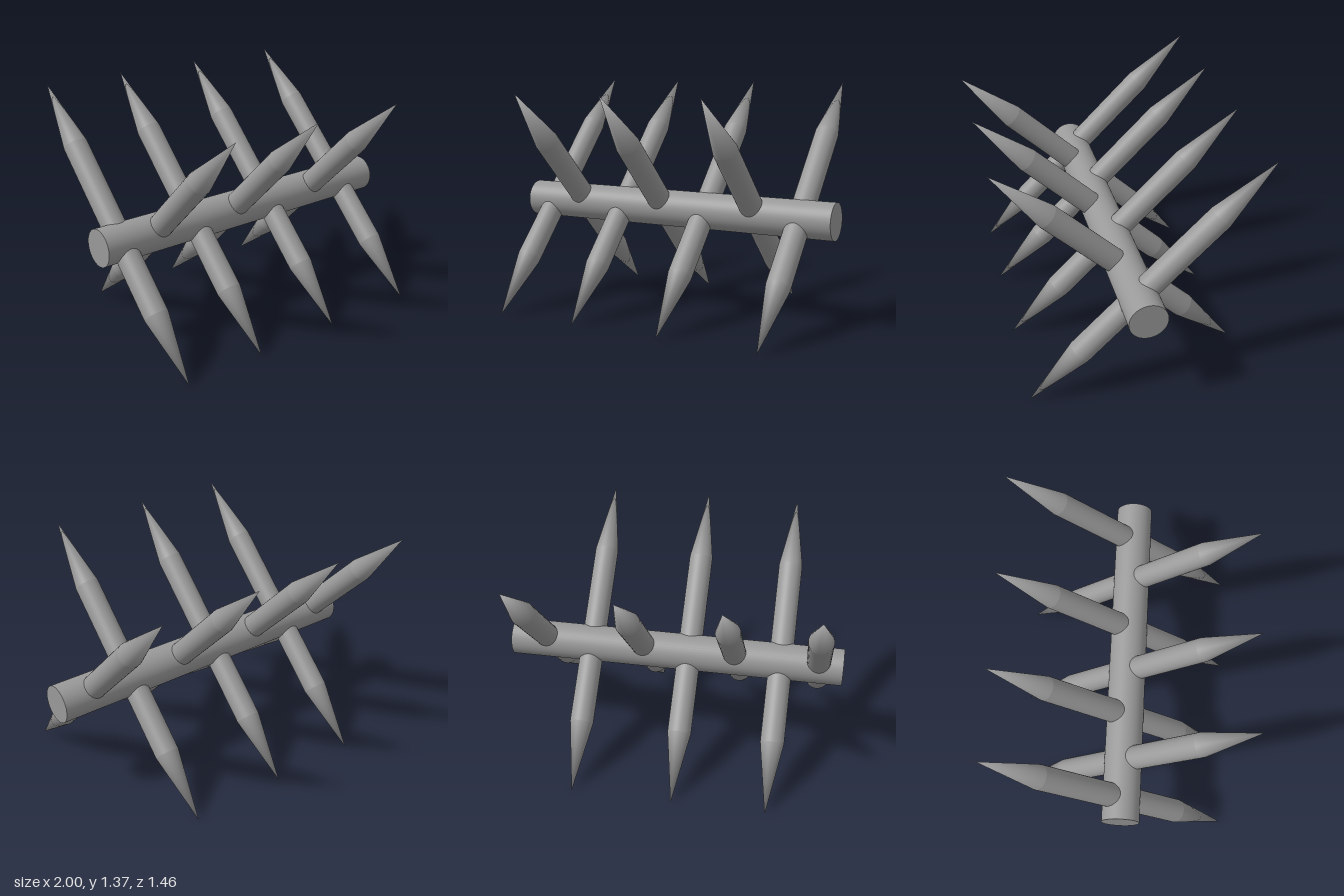
import * as THREE from 'three';
import { mergeVertices } from 'three/addons/utils/BufferGeometryUtils.js';

const SIDES = 32;
const STAKE_RADIUS = 0.07;
const POINT_LENGTH = 0.415;

// Sharpened end whose sides share one smooth tip
function pointGeometry() {
  const g = new THREE.ConeGeometry(STAKE_RADIUS, POINT_LENGTH, SIDES, 1, true);
  g.deleteAttribute('uv');
  g.deleteAttribute('normal');
  const merged = mergeVertices(g);
  merged.computeVertexNormals();
  return merged;
}

// Stake sharpened at both ends, running from one tip to the other
function makeStake(name, from, to, material) {
  const stake = new THREE.Group();
  stake.name = name;
  const axis = to.clone().sub(from);
  const length = axis.length();
  const shaftLength = length - 2 * POINT_LENGTH;

  const shaft = new THREE.Mesh(
    new THREE.CylinderGeometry(STAKE_RADIUS, STAKE_RADIUS, shaftLength, SIDES, 1, true), material);
  shaft.name = 'stakeShaft';
  stake.add(shaft);

  const geometry = pointGeometry();
  for (const end of [1, -1]) {
    const point = new THREE.Mesh(geometry, material);
    point.name = end > 0 ? 'upperPoint' : 'lowerPoint';
    point.position.y = end * (length - POINT_LENGTH) / 2;
    if (end < 0) point.rotation.x = Math.PI;
    stake.add(point);
  }

  stake.position.copy(from).add(to).multiplyScalar(0.5);
  stake.quaternion.setFromUnitVectors(new THREE.Vector3(0, 1, 0), axis.normalize());
  return stake;
}

export function createModel() {
  const model = new THREE.Group();
  model.name = 'spikedBarrier';
  const grey = new THREE.MeshStandardMaterial({ color: 0x999999 });
  grey.name = 'grey';

  // Horizontal beam
  const beam = new THREE.Mesh(new THREE.CylinderGeometry(0.109, 0.109, 2, 48), grey);
  beam.name = 'beam';
  beam.rotation.z = Math.PI / 2;
  beam.position.y = 0.631;
  model.add(beam);

  // Stakes leaning back
  for (const x of [-0.857, -0.36, 0.191, 0.787]) {
    model.add(makeStake('backLeaningStake',
      new THREE.Vector3(x, 0.013, 0.618), new THREE.Vector3(x, 1.376, -0.732), grey));
  }

  // Stakes leaning forward, set between the others
  for (const x of [-0.632, -0.081, 0.515]) {
    model.add(makeStake('frontLeaningStake',
      new THREE.Vector3(x, 0.002, -0.65), new THREE.Vector3(x, 1.335, 0.732), grey));
  }
  return model;
}
